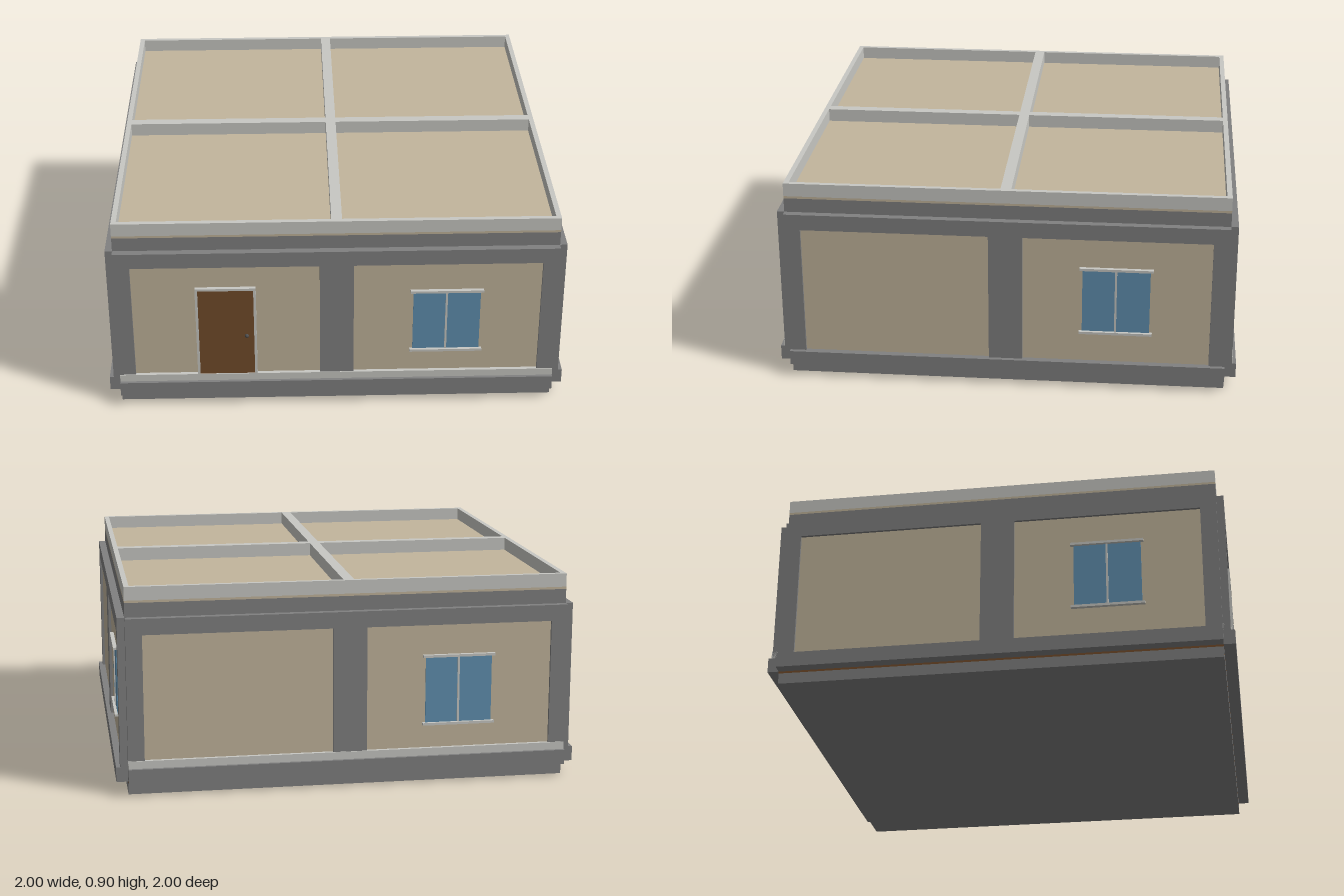
import * as THREE from 'three';

const mat = (name, hex) => {
  const m = new THREE.MeshStandardMaterial({ color: hex });
  m.name = name;
  return m;
};

export function createModel() {
  const concrete = mat('grey concrete', 0x808080);
  const plaster = mat('beige plaster', 0xc2b59c);
  const trim = mat('light trim', 0xc8c8c3);
  const wood = mat('brown wood', 0x734c2a);
  const glass = mat('blue glass', 0x6090b0);
  const metal = mat('dark metal', 0x505050);

  const house = new THREE.Group();
  house.name = 'house';

  // Box given by its min and max along each axis
  const box = (parent, name, material, x0, x1, y0, y1, z0, z1) => {
    const mesh = new THREE.Mesh(new THREE.BoxGeometry(x1 - x0, y1 - y0, z1 - z0), material);
    mesh.position.set((x0 + x1) / 2, (y0 + y1) / 2, (z0 + z1) / 2);
    mesh.name = name;
    parent.add(mesh);
    return mesh;
  };
  const slab = (name, material, h, y0, y1) => box(house, name, material, -h, h, y0, y1, -h, h);

  // Stacked layers: foundation, wooden sheet, core, roof
  slab('foundation', concrete, 0.95, 0, 0.048);
  slab('woodSheet', wood, 0.95, 0.048, 0.06);
  slab('core', concrete, 0.95, 0.06, 0.83);
  slab('roofPanel', plaster, 0.95, 0.83, 0.84);

  const WALL = 0.97, FRAME = 0.982;

  function addWindow(side) {
    const g = new THREE.Group();
    g.name = 'window';
    side.add(g);
    box(g, 'glass', glass, 0.33, 0.62, 0.262, 0.56, WALL, WALL + 0.004);
    box(g, 'mullion', trim, 0.469, 0.478, 0.262, 0.56, WALL, WALL + 0.009);
    for (const y of [0.256, 0.556]) box(g, 'sill', trim, 0.317, 0.632, y, y + 0.011, WALL, 0.987);
  }

  function addDoor(side) {
    const g = new THREE.Group();
    g.name = 'door';
    side.add(g);
    box(g, 'doorLeaf', wood, -0.597, -0.358, 0.155, 0.583, WALL, FRAME);
    box(g, 'jamb', trim, -0.608, -0.597, 0.155, 0.594, WALL, 0.987);
    box(g, 'jamb', trim, -0.358, -0.347, 0.155, 0.594, WALL, 0.987);
    box(g, 'lintel', trim, -0.597, -0.358, 0.583, 0.594, WALL, 0.987);
    const knob = new THREE.Mesh(new THREE.SphereGeometry(0.009, 12, 8), metal);
    knob.name = 'knob';
    knob.position.set(-0.39, 0.352, 0.985);
    g.add(knob);
  }

  // Four sides, each built facing +z and turned into place
  ['front', 'right', 'back', 'left'].forEach((label, i) => {
    const side = new THREE.Group();
    side.name = label + 'Side';
    side.rotation.y = i * Math.PI / 2;
    house.add(side);

    box(side, 'plinthBeam', concrete, -0.95, 0.95, 0.057, 0.122, 0.95, 1);
    for (const s of [-1, 1]) {
      const [a, b] = [s * 0.073, s * 0.88].sort((p, q) => p - q);
      box(side, 'wallPanel', plaster, a, b, 0.122, 0.698, 0.95, WALL);
      const [c, d] = [s * 0.88, s * 0.95].sort((p, q) => p - q);
      box(side, 'cornerColumn', concrete, c, d, 0.122, 0.698, 0.95, FRAME);
    }
    box(side, 'middleColumn', concrete, -0.073, 0.073, 0.122, 0.698, 0.95, FRAME);
    box(side, 'topBeam', concrete, -0.95, 0.95, 0.698, 0.768, 0.95, FRAME);

    // Floor edge shows on the front and back only
    if (i % 2 === 0) box(side, 'floorEdge', trim, -0.95, 0.95, 0.122, 0.155, 0.95, 0.986);
    addWindow(side);
    if (i === 0) addDoor(side);
  });

  // Parapet rim and cross ribs on the roof
  const parapet = new THREE.Group();
  parapet.name = 'parapet';
  house.add(parapet);
  for (const [a, b] of [[-0.95, -0.928], [0.928, 0.95]]) {
    box(parapet, 'rim', trim, -0.95, 0.95, 0.84, 0.898, a, b);
    box(parapet, 'rim', trim, a, b, 0.84, 0.898, -0.928, 0.928);
  }
  box(parapet, 'rib', trim, -0.928, 0.928, 0.84, 0.898, -0.023, 0.023);
  for (const [a, b] of [[-0.928, -0.023], [0.023, 0.928]]) {
    box(parapet, 'rib', trim, -0.023, 0.023, 0.84, 0.898, a, b);
  }

  return house;
}
